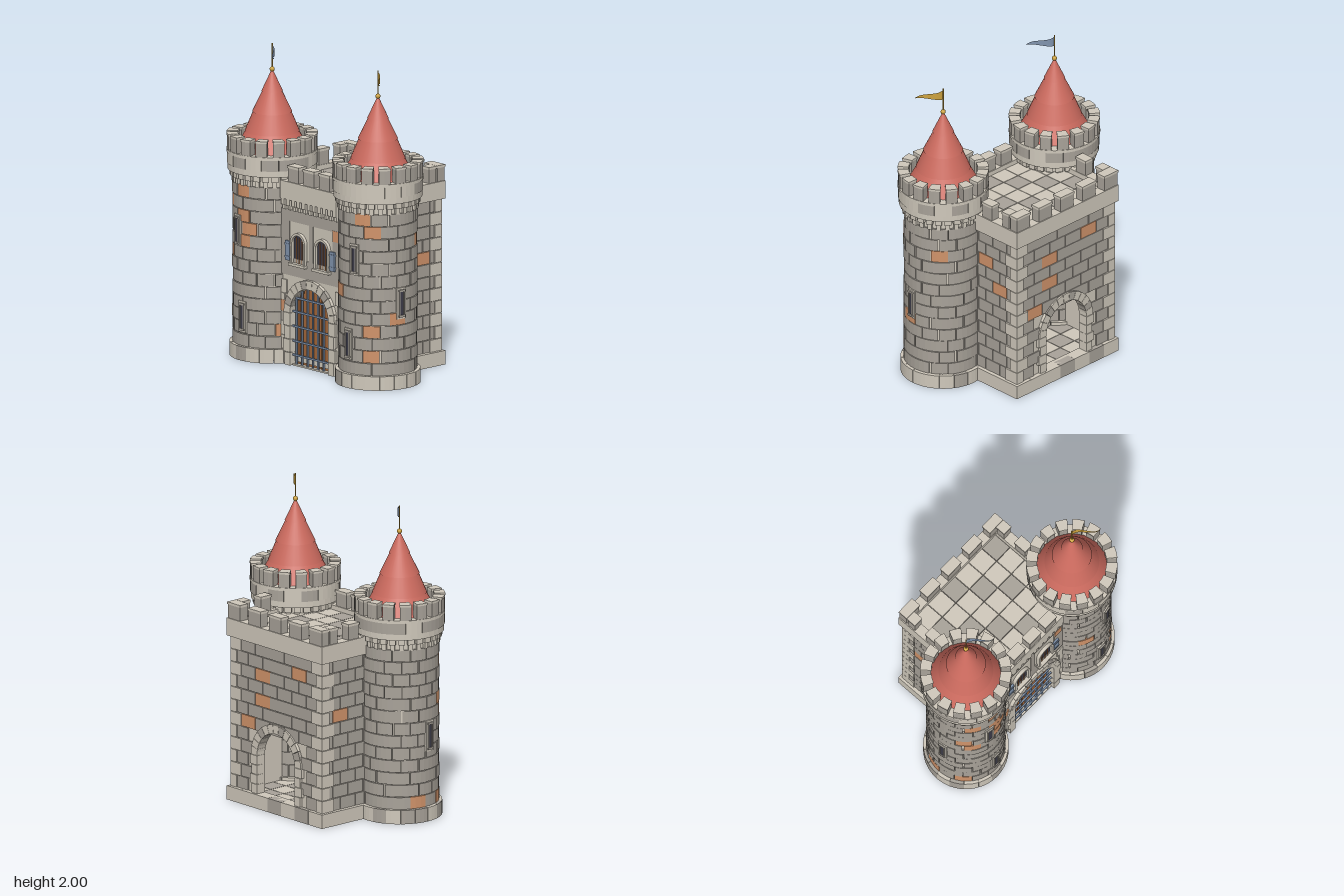
import * as THREE from 'three';
import { mergeGeometries } from 'three/addons/utils/BufferGeometryUtils.js';

const mat = (name, color, side = THREE.FrontSide) =>
  Object.assign(new THREE.MeshStandardMaterial({ color, side }), { name });

let seed = 7;
const rnd = () => (seed = (seed * 16807) % 2147483647) / 2147483647;

export function createModel() {
  const root = new THREE.Group();
  root.name = 'castleGatehouse';
  const M = {
    light: mat('lightStone', 0xcfc8bb, THREE.DoubleSide),
    stone: mat('greyStone', 0xa8a299),
    brick: mat('terracotta', 0xd0936a),
    roof: mat('redRoof', 0xcb6a5e),
    gold: mat('gold', 0xcda23e, THREE.DoubleSide),
    iron: mat('blueIron', 0x8093ad, THREE.DoubleSide),
    wood: mat('wood', 0xa5683a),
    dark: mat('darkOpening', 0x3c3b48),
  };

  // A part collects geometry per colour and becomes one mesh per colour
  function part(name, parent, build) {
    const bins = {};
    build((m, g) => (bins[m] ??= []).push(g.index ? g.toNonIndexed() : g));
    const group = new THREE.Group();
    group.name = name;
    for (const m in bins) {
      const mesh = new THREE.Mesh(mergeGeometries(bins[m]), M[m]);
      mesh.name = name + '_' + M[m].name;
      group.add(mesh);
    }
    parent.add(group);
    return group;
  }
  const box = (w, h, d, x, y, z) => new THREE.BoxGeometry(w, h, d).translate(x, y, z);
  // Block bent around the y axis: radii r0..r1, heights y0..y1, angle a with width da
  function bent(r0, r1, y0, y1, a, da, seg = 3) {
    const g = new THREE.BoxGeometry(da, y1 - y0, r1 - r0, seg, 1, 1).toNonIndexed();
    const p = g.attributes.position;
    for (let i = 0; i < p.count; i++) {
      const r = (r0 + r1) / 2 + p.getZ(i), t = a + p.getX(i);
      p.setXYZ(i, r * Math.sin(t), p.getY(i) + (y0 + y1) / 2, r * Math.cos(t));
    }
    g.computeVertexNormals();
    return g;
  }
  function archPath(P, hw, y0, spring, cx = 0) {
    const s = new P();
    s.moveTo(cx - hw, y0);
    s.lineTo(cx + hw, y0);
    s.lineTo(cx + hw, spring);
    s.absarc(cx, spring, hw, 0, Math.PI, false);
    s.closePath();
    return s;
  }
  const extrude = (s, depth, z) =>
    new THREE.ExtrudeGeometry(s, { depth, bevelEnabled: false, curveSegments: 16 }).translate(0, 0, z);
  const mix = (p) => (rnd() < p ? 'light' : 'stone');

  // ---------- Towers ----------
  const patches = {
    '-1': [[12, -0.15], [11, -0.8], [10, 0.17], [9, 0.17], [8, 0.17], [8, -0.7], [7, -0.6], [0, -0.9], [1, 0.95], [0, -2]],
    1: [[12, 0.45], [11, 0.6], [6, -0.65], [3, 0.45], [1, 0.45], [10, 2.4], [4, 1.5]],
  };
  const N = 14, step = (Math.PI * 2) / N;
  for (const s of [-1, 1]) {
    const tower = new THREE.Group();
    tower.name = s > 0 ? 'leftTower' : 'rightTower';
    tower.position.set(s * 0.492, 0, 0.162);
    root.add(tower);

    part('towerWall', tower, (add) => {
      add('light', new THREE.CylinderGeometry(0.238, 0.238, 1.2, 40, 1, true).translate(0, 0.61, 0));
      for (let i = 0; i < 13; i++) {
        for (let j = 0; j < N; j++) {
          const a = (j + (i % 2) * 0.5 + (rnd() - 0.5) * 0.1) * step, y = 0.09 + i * 0.08;
          const hit = patches[s].some(([c, t]) => c === i && Math.abs(Math.atan2(Math.sin(a - t), Math.cos(a - t))) <= step / 2);
          add(hit ? 'brick' : 'stone', bent(0.236, 0.246 + rnd() * 0.005, y + 0.002, y + 0.078, a, step * (0.94 + rnd() * 0.05)));
        }
      }
    });
    part('towerPlinth', tower, (add) => {
      for (let j = 0; j < 18; j++) add(mix(0.65), bent(0.235, 0.268, 0, 0.09, j * Math.PI / 9, 0.342));
    });
    part('towerCorbels', tower, (add) => {
      for (let j = 0; j < 28; j++) {
        const a = j * Math.PI / 14;
        add('light', bent(0.236, 0.268, 1.165, 1.205, a, 0.16, 1));
        add('light', bent(0.236, 0.256, 1.125, 1.165, a, 0.11, 1));
      }
    });
    part('towerParapet', tower, (add) => {
      add('light', bent(0.22, 0.28, 1.2, 1.24, 0, Math.PI * 2, 40));
      for (let j = 0; j < 16; j++) add(mix(0.55), bent(0.22, 0.284, 1.24, 1.31, j * Math.PI / 8, 0.385));
      add('light', bent(0.215, 0.287, 1.31, 1.33, 0, Math.PI * 2, 40));
      for (let j = 0; j < 16; j++) {
        const a = (j + 0.5) * Math.PI / 8;
        add('stone', bent(0.22, 0.284, 1.33, 1.418, a, 0.255, 2));
        add('light', bent(0.217, 0.287, 1.418, 1.432, a, 0.27, 2));
      }
    });
    // Stepped conical roof with flared eaves
    part('towerRoof', tower, (add) => {
      const tiers = [[0.236, 1.315, 0.166, 1.445], [0.172, 1.44, 0.118, 1.57], [0.125, 1.565, 0.06, 1.7], [0.067, 1.695, 0.007, 1.825]];
      for (const [r0, y0, r1, y1] of tiers)
        add('roof', new THREE.CylinderGeometry(r1, r0, y1 - y0, 32).translate(0, (y0 + y1) / 2, 0));
    });
    part('flagPole', tower, (add) => {
      add('gold', new THREE.SphereGeometry(0.016, 16, 10).translate(0, 1.835, 0));
      add('gold', new THREE.CylinderGeometry(0.004, 0.004, 0.18, 8).translate(0, 1.91, 0));
    });
    part('pennant', tower, (add) => {
      const g = new THREE.PlaneGeometry(1, 1, 10, 1), p = g.attributes.position;
      for (let i = 0; i < p.count; i++) {
        const u = p.getX(i) + 0.5, v = p.getY(i);
        p.setXYZ(i, 0.14 * u, 1.955 - 0.012 * u + v * 0.066 * (1 - 0.95 * u), 0.11 * (u - 0.13 * Math.sin(u * Math.PI * 2)));
      }
      g.computeVertexNormals();
      add(s > 0 ? 'gold' : 'iron', g);
    });
    // Arrow slits on the front and the outer side
    part('arrowSlits', tower, (add) => {
      for (const [y, a] of [[0.83, 0.2], [0.28, 0], [0.55, 1.45]]) {
        const put = (m, w, h, d, x, dy, r) => add(m, box(w, h, d, x, y + dy, r).rotateY(s * a));
        put('light', 0.066, 0.2, 0.02, 0, 0, 0.245);
        put('dark', 0.024, 0.15, 0.006, 0, 0, 0.256);
        for (const k of [-1, 1]) {
          put('stone', 0.008, 0.16, 0.012, k * 0.016, 0, 0.257);
          put('stone', 0.046, 0.013, 0.014, 0, k * 0.082, 0.258);
        }
      }
    });
  }

  // ---------- Gatehouse walls ----------
  // Running-bond courses on a plane; place() moves each stone from the plane to the wall
  function courses(add, u0, u1, w, skip, marks, place) {
    for (let i = 0; i < 12; i++) {
      const h = 0.98 / 12, y = 0.09 + (i + 0.5) * h;
      for (let u = u0 - (i % 2) * w / 2; u < u1 - 0.01; u += w) {
        const a = Math.max(u, u0), b = Math.min(u + w, u1), c = (a + b) / 2;
        if (b - a < 0.02 || skip(a, b, y)) continue;
        const hit = marks.some(([mu, my]) => mu >= a && mu < b && Math.abs(my - y) <= h / 2);
        add(hit ? 'brick' : 'stone', place(box(b - a - 0.004, h - 0.004, 0.01 + rnd() * 0.004, c, y, 0.003)));
      }
    }
  }
  part('sideWalls', root, (add) => {
    for (const s of [-1, 1]) {
      add('light', box(0.05, 1.05, 0.36, s * 0.393, 0.555, -0.24));
      add('light', box(0.06, 0.09, 0.38, s * 0.42, 0.045, -0.26));
      // u runs along z, mirrored for the two sides
      courses(add, -0.4, -0.03, 0.125, () => false, s > 0 ? [[-0.15, 0.88], [-0.25, 0.67]] : [[-0.3, 0.73]],
        (g) => (s > 0 ? g.rotateY(-Math.PI / 2).scale(-1, 1, 1).translate(0.418, 0, 0) : g.rotateY(-Math.PI / 2).translate(-0.418, 0, 0)));
    }
  });
  // Mirrored stones need their corner order restored
  root.getObjectByName('sideWalls').children.forEach((m) => {
    const g = m.geometry, p = g.attributes.position, n = g.attributes.normal;
    const a = new THREE.Vector3(), b = new THREE.Vector3(), c = new THREE.Vector3(), k = new THREE.Vector3();
    for (let i = 0; i < p.count; i += 3) {
      a.fromBufferAttribute(p, i); b.fromBufferAttribute(p, i + 1); c.fromBufferAttribute(p, i + 2);
      k.fromBufferAttribute(n, i);
      if (b.clone().sub(a).cross(c.clone().sub(a)).dot(k) < 0) {
        p.setXYZ(i + 1, c.x, c.y, c.z);
        p.setXYZ(i + 2, b.x, b.y, b.z);
      }
    }
  });
  const wallShape = (hw, y0, holeY) => {
    const s = new THREE.Shape([[-hw, y0], [hw, y0], [hw, 1.08], [-hw, 1.08]].map(([x, y]) => new THREE.Vector2(x, y)));
    s.holes.push(archPath(THREE.Path, 0.18, holeY, 0.34));
    return s;
  };
  part('backWall', root, (add) => {
    add('light', extrude(wallShape(0.418, 0.03, 0.09), 0.05, -0.418));
    for (let j = 0; j < 7; j++) add(mix(0.7), box(0.126, 0.09, 0.06, (j - 3) * 0.128, 0.045, -0.42));
    const skip = (a, b, y) => a < 0.2 && b > -0.2 && (y < 0.36 || Math.hypot(Math.max(0, a, -b), y - 0.34) < 0.19);
    courses(add, -0.41, 0.41, 0.137, skip, [[-0.16, 0.88], [-0.1, 0.67], [0.17, 0.95], [-0.25, 0.53]],
      (g) => g.rotateY(Math.PI).translate(0, 0, -0.418));
  });
  part('cornerStones', root, (add) => {
    for (const s of [-1, 1]) for (let i = 0; i < 12; i++) {
      const a = i % 2 ? 0.1 : 0.06, b = i % 2 ? 0.06 : 0.1;
      add('light', box(a, 0.078, b, s * (0.434 - a / 2), 0.131 + i * 0.0815, -0.434 + b / 2));
    }
  });
  part('frontWall', root, (add) => {
    add('light', extrude(wallShape(0.285, 0, 0.01), 0.05, 0.225));
    add('stone', box(0.56, 0.075, 0.01, 0, 0.965, 0.276));
    add('stone', box(0.56, 0.115, 0.01, 0, 0.635, 0.276));
    add('stone', box(0.035, 0.24, 0.01, 0, 0.81, 0.276));
    for (const s of [-1, 1]) {
      add('stone', box(0.08, 0.24, 0.01, s * 0.24, 0.81, 0.276));
      for (let i = 0; i < 6; i++) {
        const w = i % 2 ? 0.06 : 0.04;
        add(i % 3 ? 'light' : 'stone', box(w, 0.088, 0.012, s * (0.285 - w / 2), 0.05 + i * 0.09, 0.277));
      }
    }
    add('brick', box(0.06, 0.07, 0.014, 0.232, 0.9, 0.277));
    add('brick', box(0.05, 0.07, 0.016, -0.25, 0.375, 0.277));
  });

  // ---------- Arches ----------
  const archStones = (name, z, y0) => part(name, root, (add) => {
    for (let i = 0; i < 13; i++)
      add(i % 4 === 1 ? 'stone' : 'light', bent(0.178, 0.236, -0.03, 0.03, (i - 6) * Math.PI / 13, 0.232, 2)
        .rotateX(-Math.PI / 2).translate(0, 0.34, z));
    const h = (0.34 - y0) / 4;
    for (const s of [-1, 1]) for (let i = 0; i < 4; i++) {
      const w = i % 2 ? 0.065 : 0.05;
      add('light', box(w, h - 0.003, 0.06, s * (0.178 + w / 2), y0 + (i + 0.5) * h, z));
    }
  });
  archStones('gateArch', 0.268, 0);
  archStones('backArch', -0.408, 0.09);

  part('gateDoor', root, (add) => {
    for (let i = 0; i < 9; i++) {
      const x = (i - 4) * 0.04, h = 0.33 + Math.sqrt(0.0324 - x * x);
      add('wood', box(0.037, h, 0.02, x, h / 2 + 0.005, 0.235));
    }
  });
  part('portcullis', root, (add) => {
    for (let i = -3; i <= 3; i++) {
      const h = 0.33 + Math.sqrt(0.0324 - (i * 0.05) ** 2);
      add('iron', box(0.011, h, 0.011, i * 0.05, h / 2 + 0.01, 0.264));
    }
    for (const y of [0.07, 0.16, 0.255, 0.35, 0.44]) {
      const w = 2 * Math.sqrt(0.0324 - Math.max(0, y - 0.34) ** 2);
      add('iron', box(w, 0.012, 0.01, 0, y, 0.272));
    }
  });

  // ---------- Front windows with shutters ----------
  part('archedWindows', root, (add) => {
    for (const s of [-1, 1]) {
      const x = s * 0.11, frame = archPath(THREE.Shape, 0.068, 0.66, 0.795, x);
      frame.holes.push(archPath(THREE.Path, 0.052, 0.665, 0.795, x));
      add('light', extrude(frame, 0.025, 0.272));
      add('dark', extrude(archPath(THREE.Shape, 0.054, 0.66, 0.795, x), 0.006, 0.273));
      for (const k of [-1, 0, 1]) add('wood', box(0.005, 0.17, 0.005, x + k * 0.026, 0.745, 0.281));
      add('light', box(0.15, 0.018, 0.04, x, 0.657, 0.287));
      add('iron', box(0.042, 0.125, 0.012, s * 0.208, 0.737, 0.287));
      for (const k of [-1, 1]) add('iron', box(0.046, 0.012, 0.018, s * 0.208, 0.737 + k * 0.04, 0.287));
    }
  });

  // ---------- Parapet and battlements ----------
  part('parapet', root, (add) => {
    add('light', box(0.9, 0.115, 0.068, 0, 1.127, -0.416));
    add('light', box(0.52, 0.115, 0.07, 0, 1.127, 0.27));
    for (const s of [-1, 1]) add('light', box(0.068, 0.115, 0.42, s * 0.416, 1.127, -0.24));
    for (let i = -5; i <= 5; i++) {
      add('light', box(0.03, 0.04, 0.03, i * 0.048, 1.05, 0.288));
      add('light', box(0.022, 0.03, 0.02, i * 0.048, 1.015, 0.283));
    }
  });
  part('battlements', root, (add) => {
    const merlon = (w, d, x, z) => {
      add('stone', box(w, 0.09, d, x, 1.23, z));
      add('light', box(w + 0.008, 0.016, d + 0.008, x, 1.281, z));
    };
    for (let i = -2; i <= 2; i++) merlon(0.115, 0.06, i * 0.193, -0.415);
    for (let i = -1; i <= 1; i++) merlon(0.1, 0.06, i * 0.145, 0.27);
    for (const s of [-1, 1]) {
      merlon(0.06, 0.06, s * 0.414, -0.345);
      merlon(0.06, 0.085, s * 0.414, -0.18);
    }
  });

  // ---------- Floors ----------
  const darkTiles = ['2,0', '5,0', '0,1', '3,1', '1,2', '4,2', '2,3', '3,4'];
  const tiles = (name, y, h, clear, isDark) => part(name, root, (add) => {
    for (let c = 0; c < 6; c++) for (let r = 0; r < 5; r++) {
      const x = (c - 2.5) * 0.126, z = -0.32 + r * 0.125;
      if (Math.hypot(Math.abs(x) - 0.492, z - 0.162) < clear) continue;
      add(isDark(c, r) ? 'stone' : 'light', box(0.122, h, 0.121, x, y, z));
    }
  });
  tiles('roofDeckTiles', 1.145, 0.02, 0.2, (c, r) => darkTiles.includes(c + ',' + r));
  tiles('groundFloorTiles', 0.045, 0.05, 0.25, (c, r) => (c + r) % 2 === 0);
  part('floorSlabs', root, (add) => {
    for (const y of [1.115, 0.045]) {
      add('light', box(0.78, 0.04, 0.32, 0, y, -0.23));
      add('light', box(0.5, 0.04, 0.33, 0, y, 0.09));
    }
  });
  return root;
}
